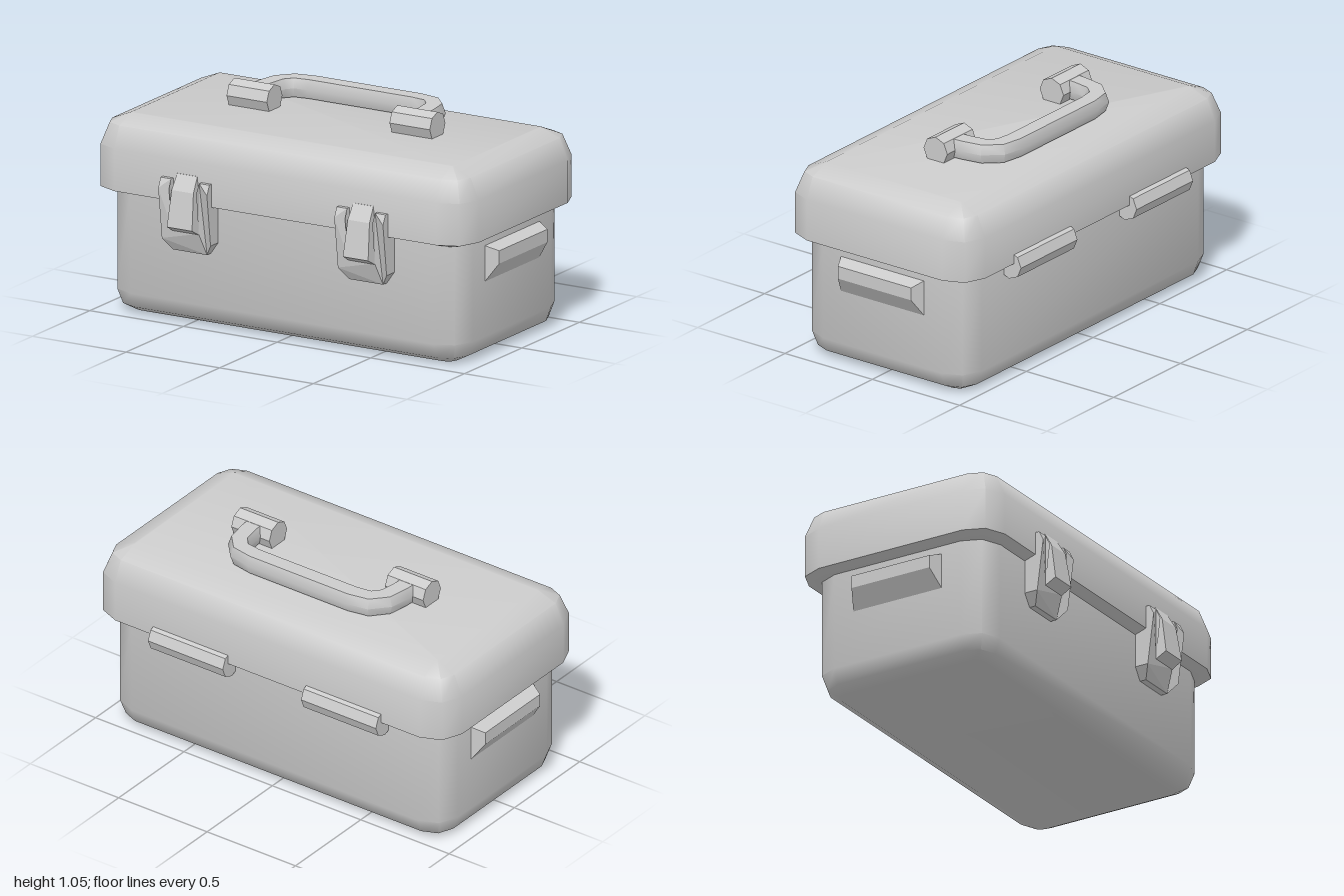
import * as THREE from 'three';
import { toCreasedNormals } from 'three/addons/utils/BufferGeometryUtils.js';
import { ConvexGeometry } from 'three/addons/geometries/ConvexGeometry.js';

const smooth = new THREE.MeshStandardMaterial({ color: 0xcccccc });
const faceted = new THREE.MeshStandardMaterial({ color: 0xcccccc, flatShading: true });

function part(name, geometry, material = faceted) {
  const mesh = new THREE.Mesh(geometry, material);
  mesh.name = name;
  return mesh;
}

// Skin a list of equal-length loops and close both ends
function loft(rings, crease) {
  const n = rings[0].length, index = [], last = (rings.length - 1) * n;
  for (let r = 0; r < rings.length - 1; r++) {
    for (let i = 0; i < n; i++) {
      const a = r * n + i, b = r * n + (i + 1) % n;
      index.push(a, a + n, b, b, a + n, b + n);
    }
  }
  for (let i = 1; i < n - 1; i++) {
    index.push(0, i, i + 1, last, last + i + 1, last + i);
  }
  const geo = new THREE.BufferGeometry().setFromPoints(rings.flat());
  geo.setIndex(index);
  return toCreasedNormals(geo, crease);
}

// Rounded rectangle loop at height y, three points per corner
function roundedLoop(halfX, zBack, zFront, y, inset, radius) {
  const r = Math.max(radius - inset, 0.008), points = [];
  const hx = halfX - inset - r, hz = (zFront - zBack) / 2 - inset - r, zc = (zFront + zBack) / 2;
  for (let c = 0; c < 4; c++) {
    const sx = c === 0 || c === 3 ? 1 : -1, sz = c < 2 ? 1 : -1;
    for (let k = 0; k < 3; k++) {
      const a = (c + k / 2) * Math.PI / 2;
      points.push(new THREE.Vector3(sx * hx + r * Math.cos(a), y, zc + sz * hz + r * Math.sin(a)));
    }
  }
  return points;
}

function shell(halfX, zBack, zFront, radius, levels) {
  return loft(levels.map(([y, inset]) => roundedLoop(halfX, zBack, zFront, y, inset, radius)), 0.81);
}

// Octagonal bar lying along x
function bar(length, radius) {
  return new THREE.CylinderGeometry(radius, radius, length, 8).rotateZ(Math.PI / 2);
}

// Carrying handle: six-sided section swept along a flat bow
function handleGeometry() {
  const half = [[0.435, -0.03], [0.43, -0.1], [0.415, -0.19], [0.365, -0.247], [0.276, -0.262]];
  const path = [...half.map(([x, z]) => [-x, z]), ...half.reverse()]
    .map(([x, z]) => new THREE.Vector3(x, 0.98, z));
  const section = [[0.045, -0.037], [0.045, 0.037], [0, 0.053], [-0.045, 0.037], [-0.045, -0.037], [0, -0.053]];
  const up = new THREE.Vector3(0, 1, 0);
  const rings = path.map((p, i) => {
    const t = path[Math.min(i + 1, path.length - 1)].clone().sub(path[Math.max(i - 1, 0)]).normalize();
    const side = up.clone().cross(t);
    return section.map(([h, w]) => p.clone().addScaledVector(up, h).addScaledVector(side, w));
  });
  return loft(rings, 0.75);
}

// U-shaped latch plate whose front face leans outward toward the top
function latchPlate() {
  const right = [[0.09, 0.353], [0.13, 0.41], [0.13, 0.655], [0.13, 0.7], [0.075, 0.7], [0.073, 0.655], [0.07, 0.46]];
  const left = right.map(([x, y]) => [-x, y]).reverse();
  const shape = new THREE.Shape([...right, ...left].map(p => new THREE.Vector2(...p)));
  const geo = new THREE.ExtrudeGeometry(shape, { depth: 1, bevelEnabled: false });
  const pos = geo.attributes.position;
  for (let i = 0; i < pos.count; i++) {
    const y = pos.getY(i);
    let z = 0.525 + (y - 0.41) * 0.13;
    if (y < 0.4) z = 0.49;
    if (y > 0.69) z = 0.535;
    pos.setZ(i, pos.getZ(i) > 0.5 ? z : 0.44);
  }
  geo.computeVertexNormals();
  return geo;
}

// Latch tongue: side profile extruded across x, narrower at the top
function latchTongue() {
  const profile = [[0.5, 0.732], [0.516, 0.725], [0.557, 0.655], [0.584, 0.485], [0.53, 0.455], [0.44, 0.455], [0.44, 0.6]];
  const shape = new THREE.Shape(profile.map(([z, y]) => new THREE.Vector2(-z, y)));
  const geo = new THREE.ExtrudeGeometry(shape, { depth: 1, bevelEnabled: false });
  geo.translate(0, 0, -0.5).rotateY(Math.PI / 2);
  // The profile now runs along +z and the width along x
  const pos = geo.attributes.position;
  for (let i = 0; i < pos.count; i++) {
    const width = 0.138 - (pos.getY(i) - 0.455) * 0.11;
    pos.setX(i, pos.getX(i) * width);
  }
  geo.computeVertexNormals();
  return geo;
}

// Wedge-shaped side grip, spread on the side wall and narrower outside
function sideGrip(side) {
  const points = [];
  for (const [x, y0, y1, z0, z1] of [[0.92, 0.36, 0.53, -0.25, 0.225], [0.94, 0.36, 0.53, -0.25, 0.225], [1, 0.447, 0.508, -0.222, 0.197]]) {
    for (const y of [y0, y1]) for (const z of [z0, z1]) points.push(new THREE.Vector3(side * x, y, z));
  }
  return new ConvexGeometry(points);
}

export function createModel() {
  const model = new THREE.Group();
  model.name = 'toolbox';

  // Box and overhanging lid
  model.add(part('body', shell(0.94, -0.482, 0.458, 0.13,
    [[0, 0.085], [0.03, 0.027], [0.1, 0], [0.585, 0]]), smooth));
  model.add(part('lid', shell(1, -0.54, 0.515, 0.14,
    [[0.57, 0.06], [0.59, 0], [0.79, 0], [0.89, 0.043], [0.93, 0.14]]), smooth));

  model.add(part('carryHandle', handleGeometry(), smooth));

  // Paired fittings
  for (const side of [1, -1]) {
    const label = side > 0 ? 'left' : 'right';

    const mount = part(label + 'HandleMount', bar(0.215, 0.068));
    mount.position.set(side * 0.435, 0.978, -0.012);

    const hinge = part(label + 'Hinge', bar(0.423, 0.068));
    hinge.position.set(side * 0.433, 0.578, -0.512);

    const latch = new THREE.Group();
    latch.name = label + 'Latch';
    latch.add(part('latchPlate', latchPlate()), part('latchTongue', latchTongue()));
    latch.position.x = side * 0.47;

    model.add(mount, hinge, latch, part(label + 'SideGrip', sideGrip(side)));
  }
  return model;
}
